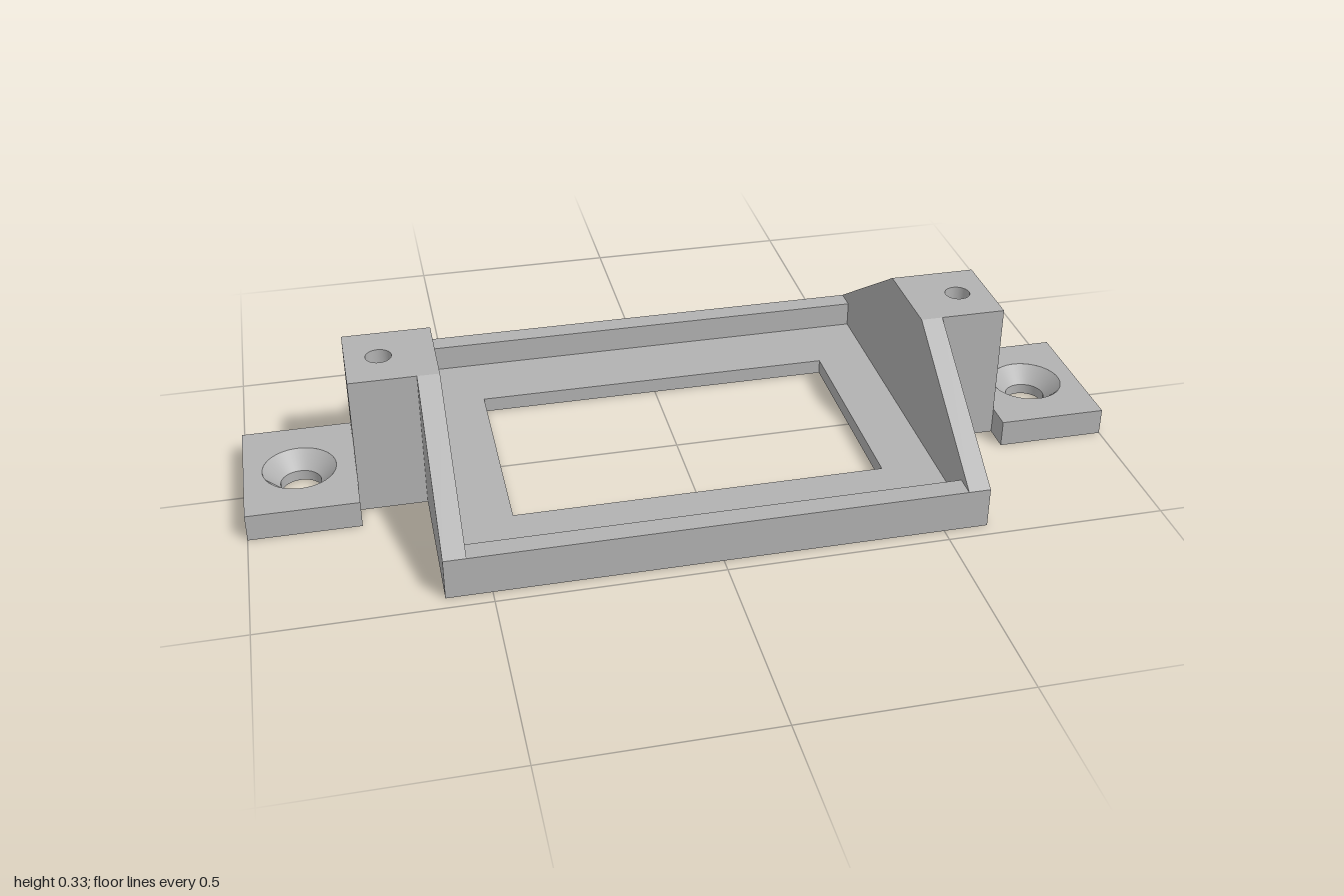
import * as THREE from 'three';

const plastic = new THREE.MeshStandardMaterial({ color: 0xb2b2b2 });
plastic.name = 'grey plastic';

export function createModel() {
  const model = new THREE.Group();
  model.name = 'mountingBracket';

  const add = (parent, name, geometry, x = 0, y = 0, z = 0) => {
    const mesh = new THREE.Mesh(geometry, plastic);
    mesh.name = name;
    mesh.position.set(x, y, z);
    parent.add(mesh);
    return mesh;
  };

  const rectangle = (w, d) => new THREE.Shape([
    new THREE.Vector2(-w / 2, -d / 2), new THREE.Vector2(w / 2, -d / 2),
    new THREE.Vector2(w / 2, d / 2), new THREE.Vector2(-w / 2, d / 2),
  ]);

  // Horizontal slab with an optional hole, rising from y = 0
  const slab = (w, d, h, hole) => {
    const shape = rectangle(w, d);
    if (hole) shape.holes.push(hole);
    return new THREE.ExtrudeGeometry(shape, { depth: h, bevelEnabled: false, curveSegments: 48 })
      .rotateX(-Math.PI / 2);
  };
  const roundHole = (r) => new THREE.Path().absarc(0, 0, r, 0, Math.PI * 2, true);

  // Floor with the rectangular window
  const windowHole = new THREE.Path(rectangle(0.85, 0.5).getPoints().reverse());
  add(model, 'floorFrame', slab(1.1, 0.834, 0.035, windowHole));

  // Low rims along front and back
  for (const s of [1, -1]) {
    add(model, s > 0 ? 'frontRim' : 'backRim',
      new THREE.BoxGeometry(1.1, 0.095, 0.05), 0, 0.0475, s * 0.442);
  }

  // Sloped side wall profile, extruded across its thickness
  const wallShape = new THREE.Shape([
    [-0.467, 0], [0.467, 0], [0.467, 0.095], [0.105, 0.33], [-0.105, 0.33], [-0.467, 0.095],
  ].map(([z, y]) => new THREE.Vector2(z, y)));

  for (const s of [1, -1]) {
    const side = new THREE.Group();
    side.name = s > 0 ? 'leftSide' : 'rightSide';
    model.add(side);

    const wall = new THREE.ExtrudeGeometry(wallShape, { depth: 0.05, bevelEnabled: false })
      .rotateY(Math.PI / 2).translate(-0.025, 0, 0);
    add(side, 'slopedWall', wall, s * 0.575);

    // Screw post with a blind pilot hole
    add(side, 'postBase', new THREE.BoxGeometry(0.15, 0.13, 0.21), s * 0.675, 0.065);
    add(side, 'postTop', slab(0.15, 0.21, 0.2, roundHole(0.029)), s * 0.675, 0.13);

    // Mounting ear with a countersunk hole
    add(side, 'earBottom', slab(0.25, 0.336, 0.025, roundHole(0.046)), s * 0.875);
    add(side, 'earTop', slab(0.25, 0.336, 0.038, roundHole(0.083)), s * 0.875, 0.025);
    const cone = new THREE.LatheGeometry(
      [new THREE.Vector2(0.083, 0.063), new THREE.Vector2(0.046, 0.025)], 48);
    add(side, 'countersink', cone, s * 0.875);
  }

  return model;
}
